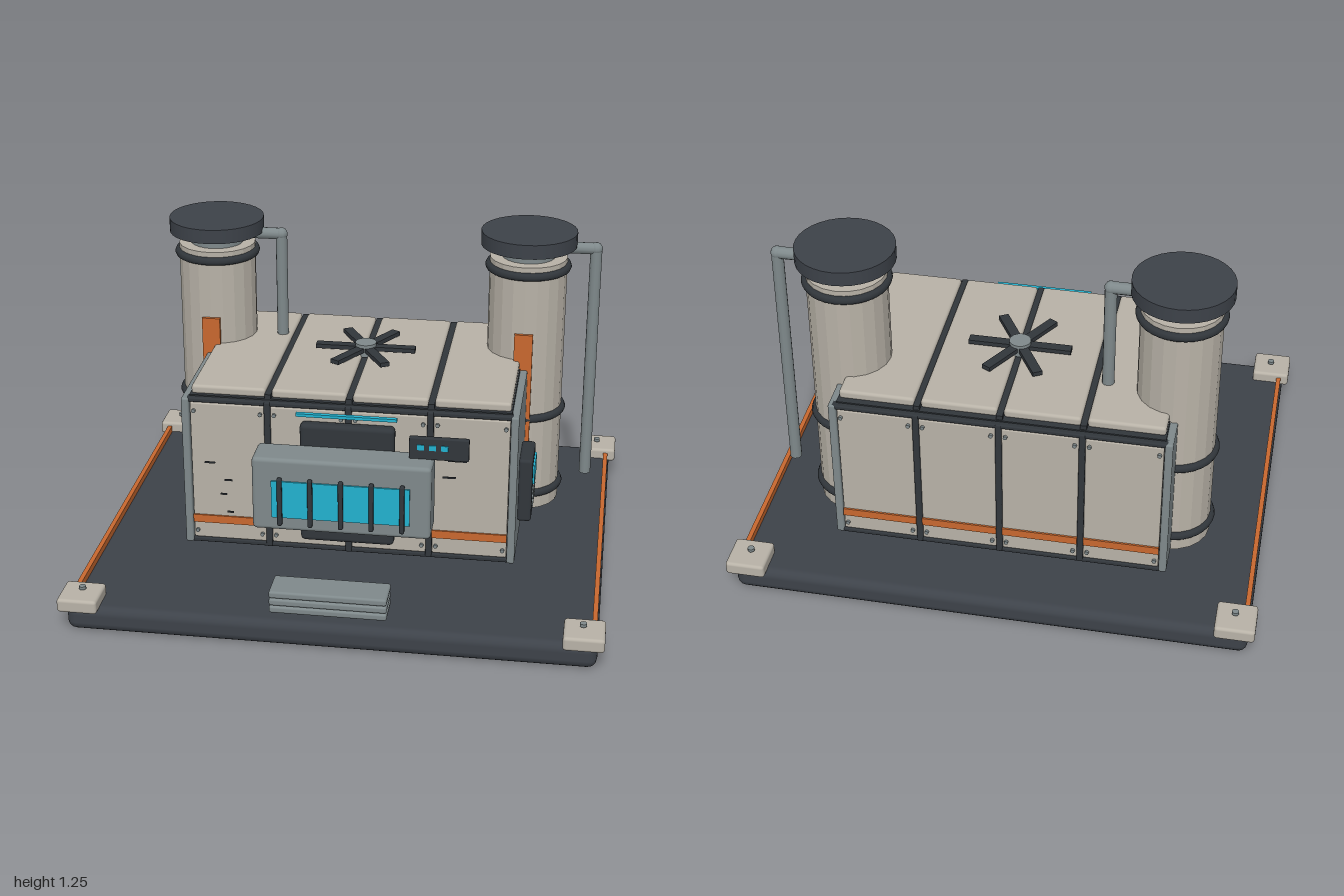
import * as THREE from 'three';
import { RoundedBoxGeometry } from 'three/addons/geometries/RoundedBoxGeometry.js';

const mat = (name, color, flatShading = false) => {
  const m = new THREE.MeshStandardMaterial({ color, flatShading });
  m.name = name;
  return m;
};

export function createModel() {
  const root = new THREE.Group();
  root.name = 'powerStation';
  const beige = mat('warm panel', 0xb8b2a7);
  const deck = mat('deck slate', 0x3d4249);
  const trim = mat('dark trim', 0x31363b);
  const grey = mat('steel grey', 0x7f898b);
  const orange = mat('orange accent', 0xc8682f);
  const cyan = mat('cyan glow', 0x22b2cf);
  const facet = beige.clone();
  facet.flatShading = true;

  const add = (name, geo, m, x, y, z, parent = root) => {
    const mesh = new THREE.Mesh(geo, m);
    mesh.name = name;
    mesh.position.set(x, y, z);
    parent.add(mesh);
    return mesh;
  };
  // Box given by its min and max on each axis; r rounds the edges
  const box = (name, m, x0, x1, y0, y1, z0, z1, r = 0, parent = root) => {
    const s = [x1 - x0, y1 - y0, z1 - z0];
    const geo = r ? new RoundedBoxGeometry(...s, 2, r) : new THREE.BoxGeometry(...s);
    return add(name, geo, m, (x0 + x1) / 2, (y0 + y1) / 2, (z0 + z1) / 2, parent);
  };
  const cyl = (name, m, r, h, x, y, z, sides = 24, parent = root) =>
    add(name, new THREE.CylinderGeometry(r, r, h, sides), m, x, y, z, parent);

  // Base slab, corner pads and edge strips
  box('baseSlab', deck, -0.975, 0.975, 0, 0.1, -0.842, 0.842, 0.035);
  for (const sx of [-1, 1]) {
    box('edgeStrip', orange, sx * 0.96 - 0.009, sx * 0.96 + 0.009, 0.098, 0.125, -0.73, 0.73);
    for (const sz of [-1, 1]) {
      const x = sx * 0.925, z = sz * 0.793;
      box('cornerPad', beige, x - 0.075, x + 0.075, 0.088, 0.142, z - 0.075, z + 0.075, 0.012);
      cyl('padBolt', grey, 0.013, 0.012, sx * 0.92, 0.156, sz * 0.787, 10);
    }
  }

  // Entry step of three stacked treads
  for (let i = 0; i < 3; i++)
    box('stepTread', grey, -0.217, 0.215, 0.122 + i * 0.03, 0.15 + i * 0.03, 0.685, 0.815, 0.009);

  // Main housing: dark core between steel end plates
  const housing = new THREE.Group();
  housing.name = 'housing';
  root.add(housing);
  box('housingCore', trim, -0.612, 0.612, 0.123, 0.738, -0.565, 0.29, 0, housing);
  for (const s of [-1, 1])
    box('endPlate', grey, s * 0.625 - 0.015, s * 0.625 + 0.015, 0.122, 0.733, -0.588, 0.32, 0.008, housing);

  // Wall and roof panels, stripes and bolts
  for (let i = 0; i < 4; i++) {
    const x = -0.465 + i * 0.31, w = 0.143;
    box('roofPanel', beige, x - w, x + w, 0.733, 0.77, -0.54, 0.275, 0.012, housing);
    for (const s of [-1, 1]) {
      const z = s > 0 ? 0.297 : -0.572;
      box('wallPanel', beige, x - w, x + w, 0.14, 0.712, z - 0.01, z + 0.01, 0.006, housing);
      box('wallStripe', orange, x - w, x + w, 0.208, 0.24, z + s * 0.013 - 0.004, z + s * 0.013 + 0.004, 0, housing);
      for (const dx of [-0.128, 0.128]) for (const y of [0.172, 0.68])
        cyl('panelBolt', grey, 0.008, 0.012, x + dx, y, z + s * 0.014, 8, housing).rotation.x = Math.PI / 2;
    }
  }
  for (const s of [-1, 1]) {
    const z = s > 0 ? 0.293 : -0.568;
    for (const y of [0.13, 0.724])
      box('wallRail', trim, -0.63, 0.63, y - 0.009, y + 0.009, z - 0.018, z + 0.018, 0.006, housing);
    for (const x of [-0.31, 0, 0.31])
      box('wallPost', trim, x - 0.012, x + 0.012, 0.122, 0.733, z - 0.02, z + 0.022, 0.006, housing);
  }
  for (const x of [-0.31, 0, 0.31])
    box('roofSeam', trim, x - 0.012, x + 0.012, 0.73, 0.755, -0.56, 0.29, 0, housing);

  // Roof fan
  const fan = new THREE.Group();
  fan.name = 'roofFan';
  fan.position.set(0, 0, -0.155);
  root.add(fan);
  cyl('fanHub', grey, 0.042, 0.05, 0, 0.785, 0, 16, fan);
  for (let i = 0; i < 6; i++) {
    const arm = new THREE.Group();
    arm.name = 'fanArm';
    arm.rotation.y = (i * Math.PI) / 3;
    fan.add(arm);
    box('fanBlade', trim, 0.03, 0.197, 0.78, 0.797, -0.019, 0.019, 0, arm);
  }

  // Front console with barred window
  box('consoleBack', trim, -0.18, 0.18, 0.18, 0.67, 0.305, 0.355, 0.018);
  box('consoleSlat', grey, -0.175, 0.175, 0.262, 0.28, 0.352, 0.362);
  box('consoleBody', grey, -0.338, 0.335, 0.29, 0.585, 0.345, 0.49, 0.016);
  box('consoleWindow', cyan, -0.263, 0.257, 0.347, 0.497, 0.488, 0.497);
  for (let i = -2; i <= 2; i++)
    box('windowBar', trim, i * 0.115 - 0.009, i * 0.115 + 0.009, 0.32, 0.515, 0.493, 0.515, 0.006);
  box('lightStrip', cyan, -0.192, 0.19, 0.703, 0.715, 0.34, 0.358);

  // Status readout
  box('readoutBox', trim, 0.242, 0.465, 0.582, 0.67, 0.385, 0.408, 0.005);
  for (const x of [0.285, 0.33, 0.375])
    box('readoutLight', cyan, x - 0.013, x + 0.013, 0.622, 0.643, 0.405, 0.412);

  // Fine scuffs beside the console: x, y, length
  for (const [x, y, l] of [[-0.52, 0.5, 0.04], [-0.45, 0.43, 0.03], [-0.47, 0.37, 0.025],
    [-0.445, 0.295, 0.025], [0.42, 0.57, 0.07], [0.39, 0.5, 0.05]])
    box('scuff', trim, x - l / 2, x + l / 2, y - 0.003, y + 0.003, 0.375, 0.38);

  // Control unit on the left end
  box('controlBox', trim, 0.638, 0.692, 0.25, 0.51, 0.023, 0.21, 0.012);
  box('controlScreen', cyan, 0.69, 0.699, 0.4, 0.475, 0.055, 0.18);
  for (const y of [0.312, 0.34, 0.368])
    box('controlSlat', grey, 0.689, 0.697, y - 0.005, y + 0.005, 0.05, 0.182);

  // Two stacks, each with rings, cap, exhaust pipe and orange plate
  for (const cx of [-0.62, 0.62]) {
    const stack = new THREE.Group();
    stack.name = 'stack';
    stack.position.set(cx, 0, -0.302);
    root.add(stack);
    cyl('stackBody', facet, 0.152, 1.03, 0, 0.637, 0, 20, stack);
    cyl('stackNeck', grey, 0.104, 0.06, 0, 1.17, 0, 24, stack);
    cyl('stackCap', deck, 0.187, 0.056, 0, 1.227, 0, 32, stack);
    for (const y of [0.19, 0.52, 1.115])
      add('stackRing', new THREE.TorusGeometry(0.152, 0.017, 8, 32), trim, 0, y, 0, stack).rotation.x = Math.PI / 2;
    cyl('pipeArm', grey, 0.023, 0.27, 0.135, 1.192, 0, 12, stack).rotation.z = Math.PI / 2;
    cyl('pipeDrop', grey, 0.023, 0.96, 0.26, 0.715, 0, 12, stack);
    add('pipeElbow', new THREE.SphereGeometry(0.025, 12, 8), grey, 0.26, 1.192, 0, stack);
    box('stackPlate', orange, -0.036, 0.036, 0.16, 0.88, 0.15, 0.164, 0, stack);
  }
  return root;
}
